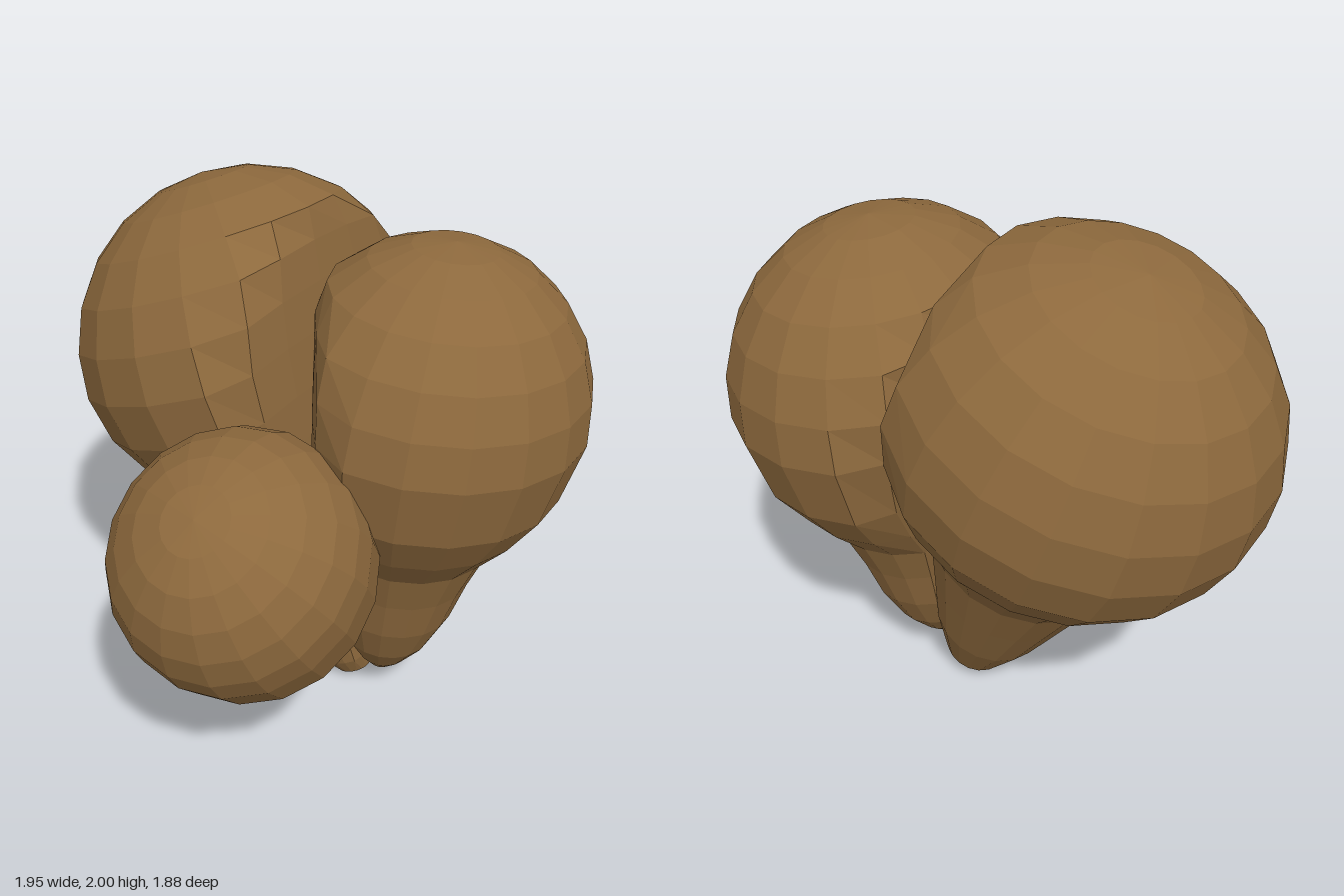
import * as THREE from 'three';

const brown = new THREE.MeshStandardMaterial({ color: 0x8d693d, flatShading: true });
brown.name = 'clove brown';

// Pear-shaped bulb: a tapering neck from tip to centre, closed by a round head.
// neck = [radius / head radius, distance / neck length]; width and head scale the
// sideways girth and the dome height; planes flatten the contact sides.
function bulb({ name, tip, centre, radius, neck, width = 1, head = 1, planes = [] }) {
  const from = new THREE.Vector3(...tip);
  const axis = new THREE.Vector3(...centre).sub(from);
  const length = axis.length();
  const points = neck.map(([r, s]) => new THREE.Vector2(r * radius, s * length));
  for (let i = 0; i <= 6; i++) {
    const a = (i / 6) * Math.PI / 2;
    points.push(new THREE.Vector2(
      Math.max(0, Math.cos(a)) * radius, length + Math.sin(a) * radius * head));
  }
  const geometry = new THREE.LatheGeometry(points, 18);
  geometry.scale(width, 1, 1);
  const turn = new THREE.Quaternion().setFromUnitVectors(new THREE.Vector3(0, 1, 0), axis.normalize());
  geometry.applyQuaternion(turn);
  geometry.translate(...tip);

  // Press every vertex beyond a contact plane almost flat, leaving a slight swell
  const pos = geometry.attributes.position;
  const v = new THREE.Vector3();
  for (let i = 0; i < pos.count; i++) {
    v.fromBufferAttribute(pos, i);
    for (const plane of planes) {
      const d = plane.distanceToPoint(v);
      if (d > 0) v.addScaledVector(plane.normal, -0.9 * d);
    }
    pos.setXYZ(i, v.x, v.y, v.z);
  }
  geometry.computeVertexNormals();
  const mesh = new THREE.Mesh(geometry, brown);
  mesh.name = name;
  return mesh;
}

function plane(normal, point) {
  return new THREE.Plane().setFromNormalAndCoplanarPoint(
    new THREE.Vector3(...normal).normalize(), new THREE.Vector3(...point));
}

export function createModel() {
  const group = new THREE.Group();
  group.name = 'bulbCluster';

  // Largest bulb, leaning outwards
  group.add(bulb({
    name: 'rightBulb', tip: [0.2, 0.005, -0.235], centre: [-0.315, 1.35, -0.28],
    radius: 0.65, width: 1.035,
    neck: [
      [0, 0], [0.1, 0.01], [0.18, 0.06], [0.32, 0.22], [0.43, 0.4],
      [0.53, 0.56], [0.64, 0.655], [0.82, 0.765], [0.95, 0.875],
    ],
    planes: [plane([1, 0.16, 0.08], [0.04, 1.5, -0.3])],
  }));

  // Upright bulb, flattened against both neighbours
  group.add(bulb({
    name: 'leftBulb', tip: [0.325, 0.11, -0.215], centre: [0.42, 1.3, -0.28],
    radius: 0.605, width: 0.935,
    neck: [
      [0, 0], [0.08, 0.005], [0.17, 0.05], [0.3, 0.14], [0.41, 0.27],
      [0.48, 0.41], [0.57, 0.545], [0.76, 0.665], [0.92, 0.8],
    ],
    planes: [
      plane([-1, -0.12, -0.08], [0.055, 1.5, -0.3]),
      plane([-0.85, 0, 0.53], [0.29, 1.2, 0.26]),
    ],
  }));

  // Small bulb, leaning forwards
  group.add(bulb({
    name: 'frontBulb', tip: [0.09, 0.215, -0.13], centre: [0.145, 0.985, 0.5],
    radius: 0.458, width: 0.975, head: 0.95,
    neck: [
      [0, 0], [0.12, 0.02], [0.21, 0.12], [0.34, 0.3],
      [0.55, 0.5], [0.8, 0.68], [0.97, 0.83],
    ],
  }));
  return group;
}
